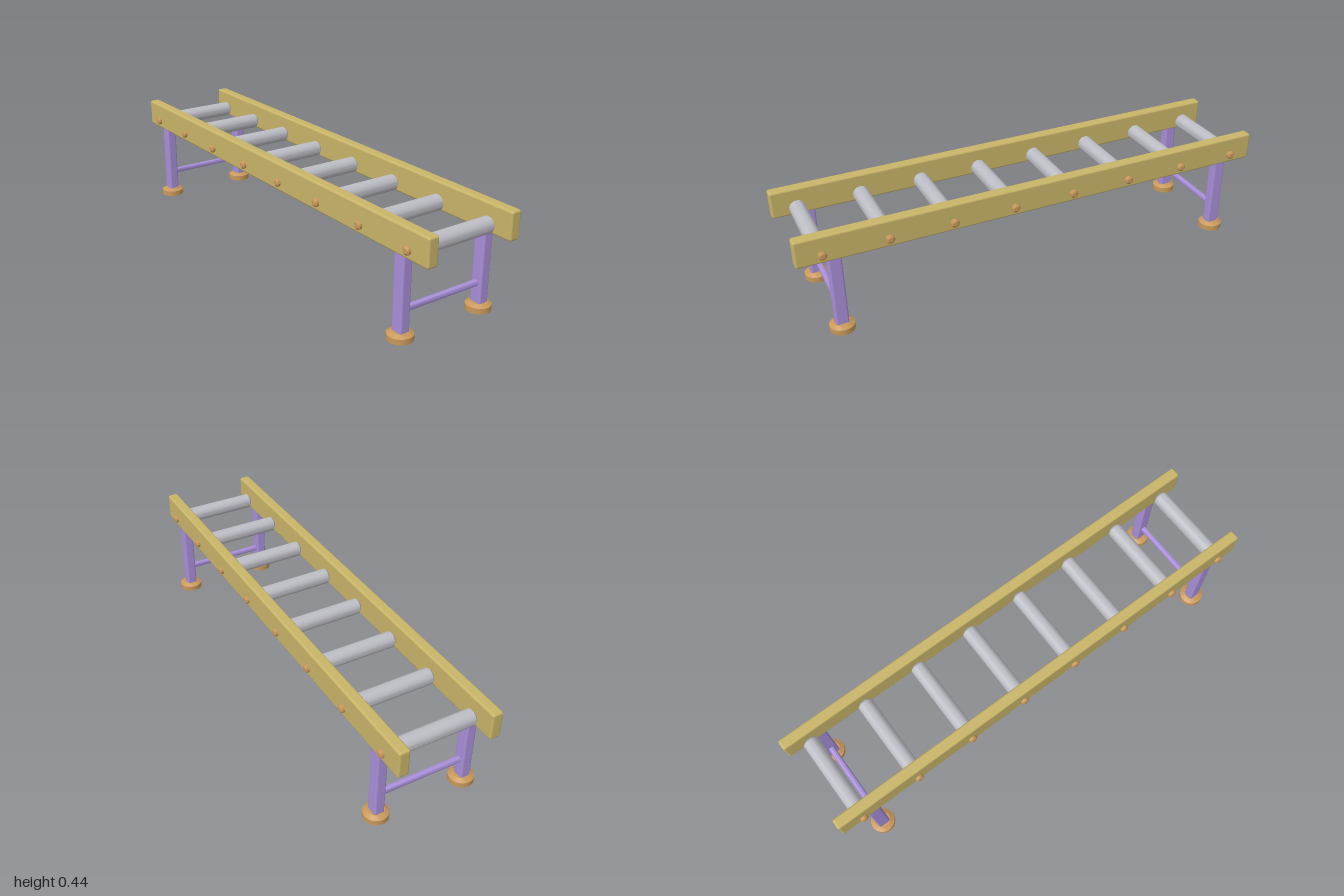
import * as THREE from 'three';
import { RoundedBoxGeometry } from 'three/addons/geometries/RoundedBoxGeometry.js';
import { toCreasedNormals } from 'three/addons/utils/BufferGeometryUtils.js';

const mat = (name, color) => {
  const m = new THREE.MeshStandardMaterial({ color });
  m.name = name;
  return m;
};

// Turned part from [radius, height] pairs listed bottom to top, with crisp chamfers
const turned = (points, sides) =>
  toCreasedNormals(new THREE.LatheGeometry(points.map(([r, y]) => new THREE.Vector2(r, y)), sides), 0.5);

export function createModel() {
  const group = new THREE.Group();
  const wood = mat('olive rail', 0xc8b468);
  const purple = mat('purple frame', 0xa88fd8);
  const steel = mat('grey roller', 0xbcbcc4);
  const bronze = mat('bronze fittings', 0xc8985a);

  const add = (name, geometry, material, x, y, z, rx = 0) => {
    const mesh = new THREE.Mesh(geometry, material);
    mesh.name = name;
    mesh.position.set(x, y, z);
    mesh.rotation.x = rx;
    group.add(mesh);
  };

  const railZ = 0.19, legX = 0.855, axleY = 0.362;
  const rail = new RoundedBoxGeometry(2, 0.114, 0.046, 3, 0.009);
  const leg = new RoundedBoxGeometry(0.052, 0.33, 0.043, 3, 0.008);
  const foot = turned([[0, 0], [0.05, 0], [0.05, 0.023], [0.033, 0.033], [0, 0.033]], 24);
  const brace = toCreasedNormals(new THREE.CylinderGeometry(0.0132, 0.0132, 0.36, 8), 0.9);
  const roller = turned([[0, -0.168], [0.02, -0.168], [0.0325, -0.157],
    [0.0325, 0.157], [0.02, 0.168], [0, 0.168]], 24);
  const bolt = turned([[0, -0.01], [0.0175, -0.01], [0.0175, 0.009], [0.01, 0.0145], [0, 0.0145]], 12);

  // Side rails, legs and feet
  for (const side of [-1, 1]) {
    const z = side * railZ;
    add('sideRail', rail, wood, 0, 0.383, z);
    for (const x of [-legX, legX]) {
      add('leg', leg, purple, x, 0.185, z);
      add('foot', foot, bronze, x, 0, z);
    }
  }

  // Braces joining each pair of legs
  for (const x of [-legX, legX]) add('legBrace', brace, purple, x, 0.113, 0, Math.PI / 2);

  // Rollers with a bolt head outside each rail
  const count = 8;
  for (let i = 0; i < count; i++) {
    const x = -0.9 + (1.8 * i) / (count - 1);
    add('roller', roller, steel, x, axleY, 0, Math.PI / 2);
    for (const side of [-1, 1]) {
      add('boltHead', bolt, bronze, x, axleY, side * 0.213, side * Math.PI / 2);
    }
  }
  return group;
}
